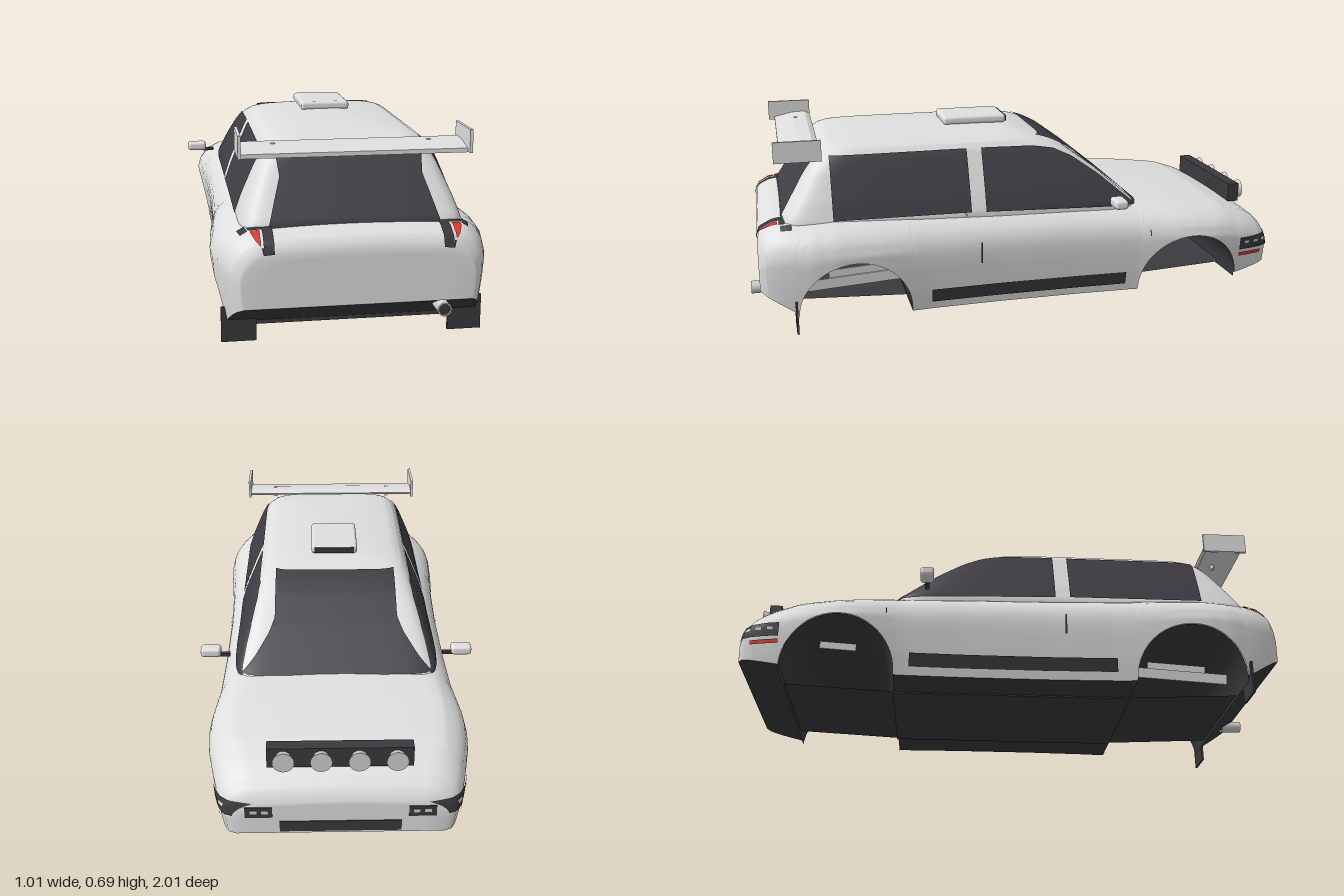
import * as THREE from 'three';
import { RoundedBoxGeometry } from 'three/addons/geometries/RoundedBoxGeometry.js';

const mat = (name, color) => new THREE.MeshStandardMaterial({ name, color, side: THREE.DoubleSide });

// piecewise linear lookup in [[key, value], ...]
function look(keys, k) {
  if (k <= keys[0][0]) return keys[0][1];
  for (let i = 1; i < keys.length; i++) {
    const [a, va] = keys[i - 1], [b, vb] = keys[i];
    if (k <= b) return va + (vb - va) * (k - a) / (b - a);
  }
  return keys[keys.length - 1][1];
}

// surface grid from a function of (u, v) in 0..1
function grid(nu, nv, fn) {
  const pos = [], idx = [];
  for (let i = 0; i <= nu; i++) for (let j = 0; j <= nv; j++) pos.push(...fn(i / nu, j / nv));
  for (let i = 0; i < nu; i++) for (let j = 0; j < nv; j++) {
    const a = i * (nv + 1) + j, b = a + nv + 1;
    idx.push(a, b, a + 1, b, b + 1, a + 1);
  }
  const g = new THREE.BufferGeometry();
  g.setAttribute('position', new THREE.Float32BufferAttribute(pos, 3));
  g.setIndex(idx);
  g.computeVertexNormals();
  return g;
}

// lower body: half width, shoulder height, bottom edge and bulge
const WIDTH = [[-1, .35], [-.985, .38], [-.95, .4], [-.9, .415], [-.82, .432], [-.75, .446], [-.66, .455], [-.58, .453], [-.42, .434], [-.2, .428],
  [.1, .428], [.35, .436], [.55, .452], [.7, .46], [.78, .455], [.86, .436], [.91, .42], [.945, .403], [.968, .375]];
const SHOULDER = [[-1, .215], [-.985, .245], [-.95, .277], [-.9, .304], [-.8, .335], [-.6, .356], [-.45, .368], [-.2, .38], [.3, .388],
  [.7, .39], [.86, .385], [.91, .378], [.95, .358], [.962, .342], [.968, .318]];
const BOTTOM = [[-1, .1], [-.85, .07], [-.845, .06], [-.45, .04], [.43, .04], [.835, .06], [.84, .07], [.968, .15]];
const BULGE = [[0, .93], [.25, .965], [.5, .99], [.68, 1], [.8, .975], [.88, .935], [.94, .88], [1, .8]];
const ARCHES = [-.648, .635], ARCH_R = .203, ARCH_Y = .052;

const shoulder = z => look(SHOULDER, z);
const sideX = (y, z) => look(WIDTH, z) * look(BULGE, (y - .04) / (shoulder(z) - .04));
const inArch = z => ARCHES.some(c => Math.abs(z - c) < ARCH_R);
function bottom(z) {
  let y = look(BOTTOM, z);
  for (const c of ARCHES) if (Math.abs(z - c) < ARCH_R) y = Math.max(y, ARCH_Y + Math.sqrt(ARCH_R ** 2 - (z - c) ** 2));
  return y;
}
const deckY = (u, z) => shoulder(z) + .011 * (1 - u * u);

// cabin: stacked superellipse rings with tight corners
const CAB_FRONT = [[.34, -.49], [.375, -.45], [.5, -.305], [.58, -.195], [.61, -.14], [.628, -.095], [.64, -.045], [.65, .0], [.657, .08], [.66, .15]];
const CAB_REAR = [[.34, .89], [.4, .872], [.5, .81], [.6, .748], [.63, .72], [.64, .7], [.65, .62], [.657, .4], [.66, .15]];
const CAB_WIDTH = [[.34, .372], [.385, .372], [.45, .35], [.5, .329], [.55, .308], [.6, .286], [.625, .266], [.64, .238], [.65, .165], [.657, .07], [.66, 0]];
const CAB_POWER = [[.36, 14], [.55, 14], [.64, 7], [.66, 4]];
function ring(y) {
  const f = look(CAB_FRONT, y), r = look(CAB_REAR, y);
  return { c: (f + r) / 2, l: (r - f) / 2, w: look(CAB_WIDTH, y), n: look(CAB_POWER, y) };
}
const arc = (t, n) => Math.pow(Math.max(0, 1 - Math.pow(Math.min(1, Math.abs(t)), n)), 1 / n);
const cabX = (y, z) => { const { c, l, w, n } = ring(y); return w * arc((z - c) / l, n); };
const cabZ = (y, x, s) => { const { c, l, w, n } = ring(y); return c + s * l * arc(x / w, n); };

export function createModel() {
  const root = new THREE.Group();
  root.name = 'rallyCar';
  const paint = mat('bodyPaint', 0xdfdfdf), glass = mat('tintedGlass', 0x403e45), trim = mat('blackTrim', 0x3a393d);
  const red = mat('redLamp', 0xdb3a30), lamp = mat('lampGrey', 0xd0d0d0);
  const add = (name, geo, m, x = 0, y = 0, z = 0) => {
    const mesh = new THREE.Mesh(geo, m);
    mesh.name = name;
    mesh.position.set(x, y, z);
    root.add(mesh);
    return mesh;
  };
  const box = (name, w, h, d, m, x, y, z) => add(name, new THREE.BoxGeometry(w, h, d), m, x, y, z);

  // body stations, packed around the wheel arches
  const zs = [];
  for (let i = 0; i <= 70; i++) {
    const z = -1 + 1.968 * i / 70;
    if (!inArch(z)) zs.push(z);
  }
  for (const z of [-.985, -.95, .93, .945, .962]) zs.push(z);
  for (const c of ARCHES) {
    for (const e of [-1, 1]) zs.push(c + e * (ARCH_R + .0005));
    for (let i = 0; i <= 28; i++) zs.push(c - .9999 * ARCH_R * Math.cos(Math.PI * i / 28));
  }
  zs.sort((a, b) => a - b);
  const N = zs.length - 1;

  // body shell: right side, bonnet and deck, left side; end rows shrink to close nose and tail
  const section = (z, v) => {
    const b = bottom(z), s = shoulder(z), k = v * 44, side = k < 22 ? 1 : -1, j = Math.min(k, 44 - k);
    if (j <= 14) {
      const y = b + (s - b) * j / 14;
      return [side * sideX(y, z), y, z];
    }
    const u = 1 - (j - 14) / 8;
    return [side * u * sideX(s, z), deckY(u, z), z];
  };
  const rows = [...[0, .5, .8].map(k => [-1, k]), ...zs.map(z => [z, 1]), ...[.8, .5, 0].map(k => [.968, k])];
  add('bodyShell', grid(rows.length - 1, 44, (u, v) => {
    const [z, k] = rows[Math.round(u * (rows.length - 1))], [x, y] = section(z, v);
    const mid = (bottom(z) + shoulder(z)) / 2;
    return [x * k, mid + (y - mid) * k, z];
  }), paint);
  // lower lips that finish the nose and tail faces
  for (const [name, z] of [['noseLip', -1], ['tailLip', .968]]) add(name, grid(4, 1, (u, v) => {
    const b = bottom(z), s = shoulder(z);
    return [(2 * u - 1) * sideX(b, z) * (1 - v), b + (s - b) * v / 2, z];
  }), paint);

  // underside and wheel arch tunnels
  add('underside', grid(N, 1, (u, v) => {
    const z = zs[Math.round(u * N)], y = look(BOTTOM, z);
    return [(2 * v - 1) * (inArch(z) ? .25 : sideX(y, z)), y, z];
  }), trim);
  box('floorPan', .5, .025, .88, trim, 0, .0475, -.01);
  for (const c of ARCHES) add('archTunnel', grid(24, 2, (u, v) => {
    const a = Math.PI * u, z = c + ARCH_R * Math.cos(a), y = ARCH_Y + ARCH_R * Math.sin(a);
    return [(2 * v - 1) * (sideX(y, z) - .004), y, z];
  }), trim);

  // cabin
  add('cabin', grid(48, 128, (u, v) => {
    const y = .34 + .32 * (1 - Math.pow(1 - u, 1.7)), { c, l, w, n } = ring(y), a = -v * Math.PI * 2;
    const p = t => Math.sign(t) * Math.pow(Math.abs(t), 2 / n);
    return [w * p(Math.cos(a)), y, c + l * p(Math.sin(a))];
  }), paint);

  // windscreen and rear window
  const endGlass = (name, s, y0, y1, edge) => add(name, grid(30, 30, (u, v) => {
    const y = y0 + (y1 - y0) * u, x = (2 * v - 1) * look(edge, y);
    return [x, y + .004, cabZ(y, x, s) + s * .004];
  }), glass);
  endGlass('windscreen', -1, .372, .628, [[.372, .35], [.42, .3], [.48, .25], [.52, .228], [.628, .226]]);
  endGlass('rearWindow', 1, .375, .612, [[.39, .278], [.46, .257], [.53, .235], [.612, .245]]);

  const frontTop = [[-.44, .372], [-.42, .387], [-.3, .488], [-.2, .558], [-.13, .59], [-.05, .603], [.145, .606]];
  for (const s of [1, -1]) {
    const tag = s > 0 ? 'left' : 'right';
    // side windows
    const sideGlass = (name, z0, z1, low, high) => add(name, grid(40, 16, (u, v) => {
      const z = z0 + (z1 - z0) * u, a = look(low, z), y = a + (look(high, z) - a) * v;
      return [s * (cabX(y, z) + .005), y + .002, z];
    }), glass);
    sideGlass(tag + 'FrontWindow', -.44, .145, [[-.44, .367], [.145, .385]], frontTop);
    sideGlass(tag + 'RearWindow', .2, .7, [[.2, .387], [.7, .39]], [[.2, .606], [.7, .606]]);

    // plates that hug the body side
    const sidePlate = (name, m, z0, z1, y0, y1, lift = .005) => add(name, grid(16, 5, (u, v) => {
      const z = z0 + (z1 - z0) * u, y = Math.min(y0 + (y1 - y0) * v, shoulder(z) - .014 * (1 - v));
      return [s * (sideX(y, z) + lift), y, z - (z < -.9 ? .002 : 0)];
    }), m);
    sidePlate(tag + 'SillStrip', trim, -.39, .36, .07, .12);
    sidePlate(tag + 'DoorHandle', trim, .172, .178, .21, .29);
    sidePlate(tag + 'DoorGap', trim, -.479, -.475, .265, .29);
    sidePlate(tag + 'Headlight', trim, -.998, -.855, .172, .222);
    for (const z of [-.965, -.925, -.885]) sidePlate(tag + 'HeadlightFleck', lamp, z - .012, z + .008, .196, .206, .007);
    sidePlate(tag + 'MarkerStrip', red, -.955, -.855, .145, .16);
    box(tag + 'HeadlightFront', .09, .04, .006, trim, s * .268, .185, -1);
    for (const x of [.248, .285]) box(tag + 'HeadlightLens', .022, .012, .004, lamp, s * x, .187, -1.003);

    // tail lights: dark frame and red bar on the rear deck corner
    const deckPlate = (name, m, x0, x1, z0, z1, lift) => add(name, grid(4, 12, (a, b) => {
      const z = z0 + (z1 - z0) * b, w = sideX(shoulder(z), z), x = Math.min(x0 + (x1 - x0) * a, w + .003);
      return [s * x, deckY(x / w, z) + lift, z + lift];
    }), m);
    deckPlate(tag + 'TailFrameInner', trim, .27, .303, .865, .967, .004);
    deckPlate(tag + 'TailFrameLower', trim, .303, .345, .96, .967, .004);
    deckPlate(tag + 'TailFrameUpper', trim, .303, .355, .865, .885, .004);
    deckPlate(tag + 'TailLamp', red, .311, .34, .89, .956, .005);
    sidePlate(tag + 'TailFrameSide', trim, .845, .885, .375, .4);

    // mudflaps
    box(tag + 'Mudflap', .115, .08, .008, trim, s * .3775, .04, .846);
    box(tag + 'MudflapTab', .025, .04, .008, trim, s * .4225, .1, .846);

    // brackets inside the arches
    box(tag + 'RearBracket', .006, .04, .35, lamp, s * .27, .125, .625).rotation.x = .06;
    box(tag + 'RearBracketStep', .006, .04, .22, lamp, s * .263, .155, .61).rotation.x = .06;
    box(tag + 'FrontBracket', .006, .028, .135, lamp, s * .27, .207, -.66).rotation.x = .06;

    // mirrors
    add(tag + 'Mirror', new RoundedBoxGeometry(.075, .035, .05, 3, .012), paint, s * .466, .413, -.335);
    box(tag + 'MirrorStalk', .045, .012, .016, trim, s * .418, .398, -.335);

    // wing end plates and posts
    box(tag + 'WingEndPlate', .01, .075, .165, paint, s * .369, .651, .812);
    add(tag + 'WingPost', new THREE.CylinderGeometry(.008, .008, .044, 12), paint, s * .255, .621, .79);
  }

  // rear wing blade
  const blade = new THREE.Shape([[-.73, .632], [-.75, .643], [-.8, .641], [-.872, .625], [-.872, .611], [-.79, .616], [-.74, .622]]
    .map(p => new THREE.Vector2(...p)));
  const bladeGeo = new THREE.ExtrudeGeometry(blade, { depth: .73, bevelEnabled: false }).translate(0, 0, -.365).rotateY(Math.PI / 2);
  add('wingBlade', bladeGeo, paint);

  // roof scoop with dark intake
  add('roofScoop', new RoundedBoxGeometry(.18, .032, .245, 3, .012), paint, 0, .669, .125);
  box('scoopIntake', .155, .022, .006, trim, 0, .668, .002);

  // front bumper slot
  box('bumperSlot', .4, .04, .008, trim, 0, .128, -.999);

  // light bar with four lamps
  box('lightBar', .48, .072, .045, trim, 0, .348, -.907);
  for (const x of [-.185, -.062, .062, .185]) {
    const g = new THREE.CylinderGeometry(.036, .026, .03, 24).rotateX(-Math.PI / 2);
    add('spotLamp', g, lamp, x, .348, -.942);
  }

  // exhaust
  add('exhaustPipe', new THREE.CylinderGeometry(.023, .023, .08, 24, 1, true).rotateX(Math.PI / 2), lamp, .268, .13, .96);
  add('exhaustRim', new THREE.RingGeometry(.018, .023, 24), lamp, .268, .13, 1);
  add('exhaustBore', new THREE.CircleGeometry(.019, 24), trim, .268, .13, .994);
  return root;
}
